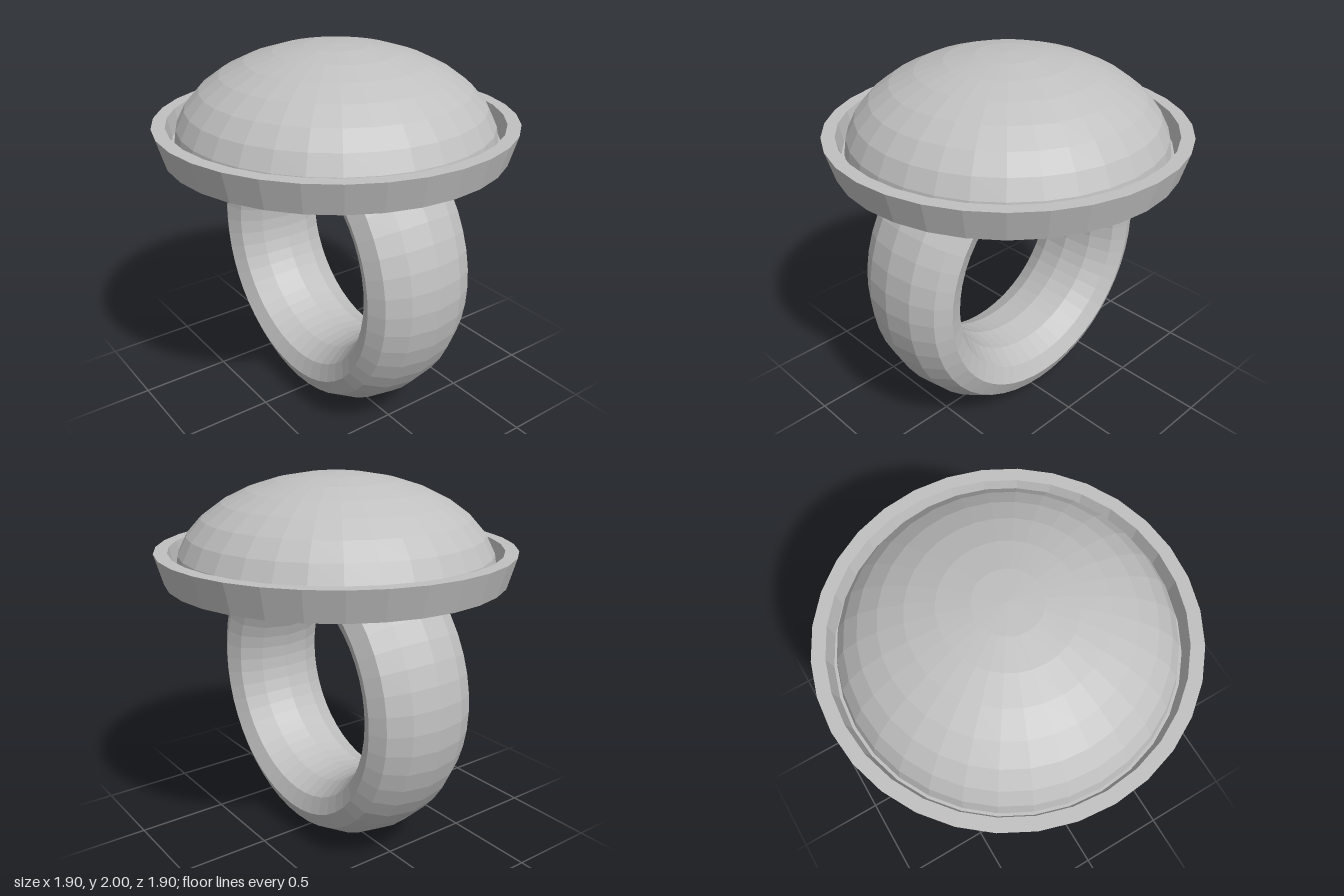
import * as THREE from 'three';

export function createModel() {
  const model = new THREE.Group();
  model.name = 'ring';
  const metal = new THREE.MeshStandardMaterial({ color: 0xc0c0c0, flatShading: true });
  metal.name = 'grey metal';

  const add = (name, geometry, y) => {
    const mesh = new THREE.Mesh(geometry, metal);
    mesh.name = name;
    mesh.position.y = y;
    model.add(mesh);
  };

  // Finger band: a torus widened along its axis
  const band = new THREE.TorusGeometry(0.685, 0.17, 12, 48);
  band.scale(1, 1, 0.31 / 0.17);
  add('band', band, 0.855);

  // Flared shallow tray that holds the stone
  const profile = [
    [0, 0], [0.905, 0], [0.95, 0.16], [0.88, 0.16], [0.857, 0.06], [0, 0.06],
  ].map(([r, y]) => new THREE.Vector2(r, y));
  add('bezelTray', new THREE.LatheGeometry(profile, 32), 1.455);

  // Domed stone: a flattened hemisphere
  const dome = new THREE.SphereGeometry(0.845, 32, 8, 0, Math.PI * 2, 0, Math.PI / 2);
  dome.scale(1, 0.5 / 0.845, 1);
  add('domedStone', dome, 1.5);

  return model;
}
